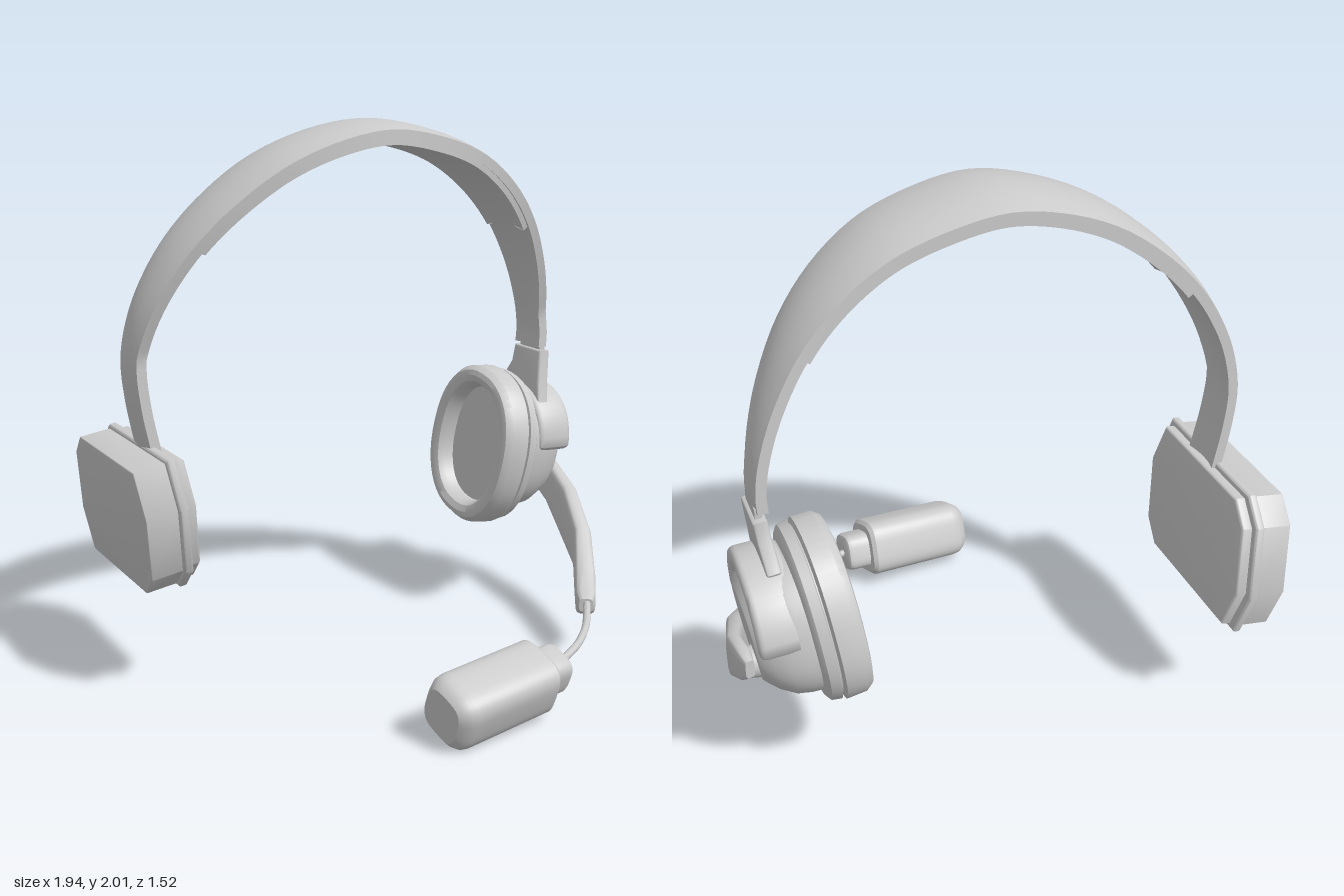
import * as THREE from 'three';
import { toCreasedNormals } from 'three/addons/utils/BufferGeometryUtils.js';

const grey = new THREE.MeshStandardMaterial({ color: 0xcccccc });
const V = (x, y, z) => new THREE.Vector3(x, y, z);

function part(name, geometry, crease = 0.6) {
  const mesh = new THREE.Mesh(toCreasedNormals(geometry, crease), grey);
  mesh.name = name;
  return mesh;
}

// Skin a series of rings (counter-clockwise about the travel direction) and cap both ends
function loft(rings) {
  const n = rings[0].length, pos = [], idx = [];
  rings.forEach(r => r.forEach(p => pos.push(p.x, p.y, p.z)));
  for (let i = 0; i < rings.length - 1; i++)
    for (let j = 0; j < n; j++) {
      const a = i * n + j, b = i * n + (j + 1) % n;
      idx.push(a, b, b + n, a, b + n, a + n);
    }
  const cap = (i, flip) => {
    const c = pos.length / 3;
    const m = rings[i].reduce((s, p) => s.add(p), V(0, 0, 0)).divideScalar(n);
    pos.push(m.x, m.y, m.z);
    for (let j = 0; j < n; j++) {
      const a = i * n + j, b = i * n + (j + 1) % n;
      idx.push(c, flip ? b : a, flip ? a : b);
    }
  };
  cap(0, true);
  cap(rings.length - 1, false);
  const g = new THREE.BufferGeometry();
  g.setAttribute('position', new THREE.Float32BufferAttribute(pos, 3));
  g.setIndex(idx);
  return g;
}

// Superellipse outline as [up, side] pairs
function outline(ru, rs, power, n) {
  const f = v => Math.sign(v) * Math.pow(Math.abs(v), 2 / power);
  return Array.from({ length: n }, (_, j) => {
    const t = j / n * Math.PI * 2;
    return [ru * f(Math.cos(t)), rs * f(Math.sin(t))];
  });
}

// Profile of [x, ry, rz] stations lofted along x
const turned = (profile, power, n = 48) =>
  loft(profile.map(([x, ry, rz]) => outline(ry, rz, power, n).map(([u, s]) => V(x, u, s))));

// Outline in the side plane (shape x = -z), thick along +x
function slab(shape, x, depth, bevel) {
  const g = new THREE.ExtrudeGeometry(shape, {
    depth: depth - 2 * bevel, bevelEnabled: true, bevelSize: bevel, bevelThickness: bevel,
    bevelOffset: -bevel, bevelSegments: 3, curveSegments: 24,
  });
  return g.translate(0, 0, x + bevel).rotateY(Math.PI / 2);
}
const polygon = (pts, k = 1) => new THREE.Shape(pts.map(([x, y]) => new THREE.Vector2(x * k, y * k)));

// Headband: a curved strip that widens towards the crown
const bandPath = new THREE.CatmullRomCurve3([
  [-0.855, 0.86], [-0.89, 1.05], [-0.9, 1.2], [-0.87, 1.36], [-0.81, 1.5], [-0.725, 1.63],
  [-0.6, 1.76], [-0.42, 1.89], [-0.22, 1.97], [-0.03, 2.0], [0.17, 1.97], [0.37, 1.9],
  [0.54, 1.78], [0.67, 1.63], [0.765, 1.45], [0.82, 1.28], [0.84, 1.15], [0.838, 1.085],
].map(([x, y]) => V(x, y, 0)));

function strip(t0, t1, outer, inner, inset) {
  const rings = [], steps = 72, across = 10;
  for (let i = 0; i <= steps; i++) {
    const t = t0 + (t1 - t0) * i / steps;
    const p = bandPath.getPoint(t), d = bandPath.getTangent(t);
    const up = V(-d.y, d.x, 0);
    const front = Math.max(-0.215, 0.045 - 0.335 * (2 - p.y)) - inset;
    const back = -0.345 - 0.03 * (2 - p.y) + inset;
    const sag = 0.03 * (front - back) / 0.39;
    const point = (k, depth) => {
      const w = 2 * k / across - 1;
      return p.clone().addScaledVector(up, -depth - sag * w * w)
        .setZ(back + (front - back) * k / across);
    };
    const ring = [];
    for (let k = 0; k <= across; k++) ring.push(point(k, outer));
    for (let k = across; k >= 0; k--) ring.push(point(k, inner));
    rings.push(ring);
  }
  return loft(rings);
}

function earCup() {
  const cup = new THREE.Group();
  cup.name = 'earCup';
  cup.position.set(0.555, 0.685, -0.375);
  cup.rotation.set(0.16, 0, -0.133, 'ZYX');
  cup.add(part('earCushion', turned([
    [0.07, 0.235, 0.185], [0.035, 0.24, 0.19], [0.01, 0.255, 0.205], [0, 0.28, 0.235], [0.005, 0.3, 0.255],
    [0.03, 0.318, 0.272], [0.1, 0.32, 0.275], [0.108, 0.3, 0.255], [0.12, 0.3, 0.255],
  ], 2.25)));
  cup.add(part('cushionRing', turned([
    [0.112, 0.3, 0.255], [0.116, 0.314, 0.268], [0.15, 0.308, 0.262], [0.165, 0.285, 0.245], [0.17, 0.25, 0.22],
  ], 2.25)));
  cup.add(part('cupHousing', turned([
    [0.16, 0.255, 0.235], [0.2, 0.252, 0.232], [0.25, 0.24, 0.222], [0.3, 0.205, 0.2],
    [0.335, 0.168, 0.172], [0.345, 0.155, 0.16],
  ], 2.4)));
  return cup;
}

// Arched clip that hugs the top of the housing, with its stem
function yoke() {
  const group = new THREE.Group();
  group.name = 'yoke';
  const arch = new THREE.Shape();
  arch.moveTo(-0.235, -0.01).bezierCurveTo(-0.25, 0.3, 0.2, 0.3, 0.235, 0);
  arch.quadraticCurveTo(0.22, -0.03, 0.18, -0.01);
  arch.bezierCurveTo(0.15, 0.22, -0.18, 0.22, -0.175, -0.02);
  arch.quadraticCurveTo(-0.21, -0.04, -0.235, -0.01);
  const clip = part('yokeArch', slab(arch, -0.075, 0.155, 0.022), 0.8);
  clip.position.set(0.82, 0.7, -0.365);
  clip.rotation.z = -0.06;
  const stem = part('yokeStem', slab(polygon([
    [-0.085, 0.19], [0.085, 0.19], [0.095, 0.12], [0.155, 0.03], [0.13, -0.04], [-0.12, -0.04], [-0.1, 0.05],
  ]), -0.025, 0.05, 0.01));
  stem.position.set(0.803, 0.88, -0.305);
  stem.rotation.z = -0.11;
  const link = part('bandLink', new THREE.BoxGeometry(0.025, 0.05, 0.13));
  link.position.set(0.822, 1.08, -0.3);
  group.add(clip, stem, link);
  return group;
}

// Faceted pad resting on the other side of the head
function templePad() {
  const group = new THREE.Group();
  group.name = 'templePad';
  group.position.set(-0.85, 0.655, -0.378);
  group.rotation.z = 0.143;
  const half = [[-0.335, 0.25], [0.225, 0.25], [0.315, 0.17], [0.38, -0.08]];
  const pts = [...half, ...half.map(([x, y]) => [-x, -y])];
  group.add(part('padBlock', slab(polygon(pts, 0.95), -0.093, 0.12, 0.004)));
  group.add(part('padRim', slab(polygon(pts), 0.022, 0.035, 0.01)));
  group.add(part('padFace', slab(polygon(pts, 0.92), 0.05, 0.045, 0.01)));
  return group;
}

function boom() {
  const group = new THREE.Group();
  group.name = 'microphoneBoom';

  // Flat arm: x, y, z, half height, half thickness
  const stations = [
    [0.918, 0.572, -0.485, 0.035, 0.016], [0.925, 0.557, -0.44, 0.062, 0.026], [0.933, 0.49, -0.3, 0.092, 0.028],
    [0.893, 0.4, -0.12, 0.115, 0.034], [0.83, 0.315, 0.05, 0.088, 0.036], [0.745, 0.225, 0.18, 0.062, 0.04],
    [0.69, 0.19, 0.255, 0.05, 0.038], [0.662, 0.193, 0.293, 0.026, 0.026],
  ];
  const at = i => V(...stations[Math.max(0, Math.min(stations.length - 1, i))]);
  group.add(part('boomArm', loft(stations.map(([, , , h, w], i) => {
    const side = at(i + 1).sub(at(i - 1)).cross(V(0, 1, 0)).normalize();
    return outline(h, w, 4, 24).map(([u, s]) => at(i).addScaledVector(side, s).add(V(0, u, 0)));
  })), 0.7));

  const pivot = part('boomPivot', new THREE.CylinderGeometry(0.05, 0.07, 0.13, 24));
  pivot.rotation.z = -Math.PI / 2;
  pivot.position.set(0.865, 0.54, -0.41);
  group.add(pivot);

  const wire = new THREE.CatmullRomCurve3([
    V(0.68, 0.2, 0.275), V(0.64, 0.195, 0.325), V(0.56, 0.178, 0.42), V(0.45, 0.163, 0.51), V(0.29, 0.144, 0.588),
  ]);
  group.add(part('boomWire', new THREE.TubeGeometry(wire, 32, 0.014, 12), 1));

  const mic = part('microphone', turned([
    [0, 0.08], [0.012, 0.094], [0.035, 0.108], [0.06, 0.112], [0.42, 0.112], [0.435, 0.1], [0.437, 0.075],
    [0.51, 0.075], [0.524, 0.07], [0.53, 0.058],
  ].map(([x, r]) => [x, r, r]), 3.4));
  mic.position.set(-0.218, 0.113, 0.65);
  mic.rotation.set(0.4, 0.12, 0.06, 'ZYX');
  group.add(mic);
  return group;
}

export function createModel() {
  const model = new THREE.Group();
  model.name = 'headset';
  model.add(part('headband', strip(0, 1, 0, 0.036, 0)));
  model.add(part('headbandLining', strip(4.9 / 17, 13.1 / 17, 0.03, 0.056, 0.015)));
  model.add(earCup(), yoke(), templePad(), boom());
  return model;
}
